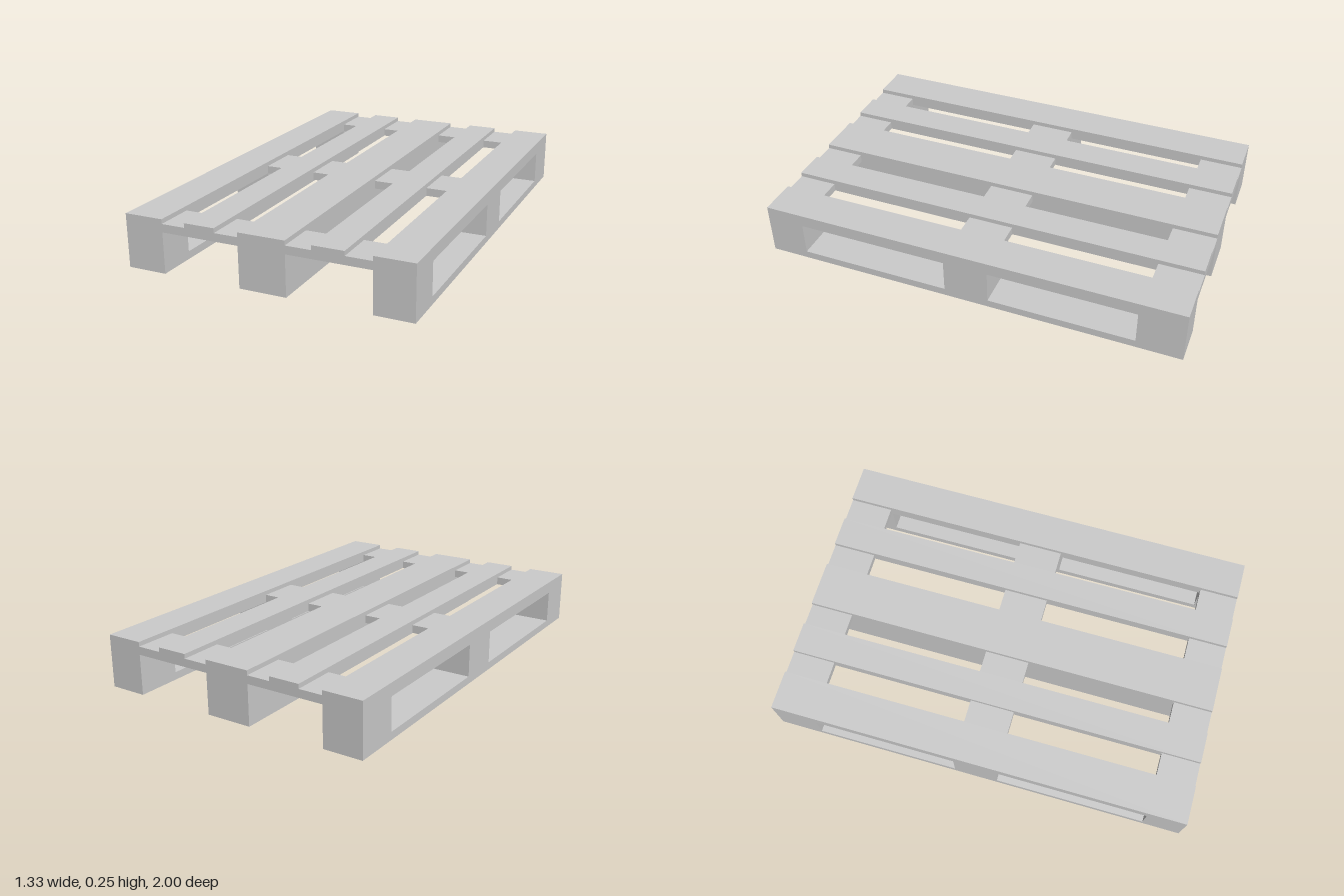
import * as THREE from 'three';

const TOP = 0.249, BOARD_TOP = 0.228, UNDER = 0.19, HOLE_BOTTOM = 0.036;
const wood = new THREE.MeshStandardMaterial({ color: 0xcccccc, flatShading: true });

// Box given by its min/max along each axis
function block(name, [x0, x1], [y0, y1], [z0, z1]) {
  const mesh = new THREE.Mesh(new THREE.BoxGeometry(x1 - x0, y1 - y0, z1 - z0), wood);
  mesh.position.set((x0 + x1) / 2, (y0 + y1) / 2, (z0 + z1) / 2);
  mesh.name = name;
  return mesh;
}

function rectangle(target, [z0, z1], [y0, y1]) {
  target.moveTo(z0, y0);
  target.lineTo(z1, y0);
  target.lineTo(z1, y1);
  target.lineTo(z0, y1);
  target.closePath();
  return target;
}

// Side beam: long profile with two fork openings, extruded across x
function sideBeam(name, [x0, x1]) {
  const profile = rectangle(new THREE.Shape(), [-1, 1], [0, TOP]);
  for (const span of [[-0.79, -0.108], [0.102, 0.82]]) {
    profile.holes.push(rectangle(new THREE.Path(), span, [HOLE_BOTTOM, UNDER]));
  }
  const geometry = new THREE.ExtrudeGeometry(profile, { depth: x1 - x0, bevelEnabled: false });
  geometry.rotateY(-Math.PI / 2);
  const mesh = new THREE.Mesh(geometry, wood);
  mesh.position.x = x1;
  mesh.name = name;
  return mesh;
}

export function createModel() {
  const pallet = new THREE.Group();
  pallet.name = 'pallet';

  // Runners that touch the ground
  pallet.add(sideBeam('rightBeam', [-0.667, -0.483]));
  pallet.add(sideBeam('leftBeam', [0.487, 0.665]));
  pallet.add(block('centreBeam', [-0.115, 0.104], [0, TOP], [-1, 1]));

  // Narrow deck slats
  pallet.add(block('rightSlat', [-0.371, -0.226], [UNDER, TOP], [-1, 1]));
  pallet.add(block('leftSlat', [0.221, 0.367], [UNDER, TOP], [-1, 1]));

  // Cross boards filling the gaps between slats and beams
  const gaps = [[-0.483, -0.371], [-0.226, -0.115], [0.104, 0.221], [0.367, 0.487]];
  const rows = { back: [-1, -0.795], middle: [-0.11, 0.102], front: [0.817, 1] };
  for (const [row, depth] of Object.entries(rows)) {
    for (const gap of gaps) {
      pallet.add(block(row + 'CrossBoard', gap, [UNDER, BOARD_TOP], depth));
    }
  }
  return pallet;
}
